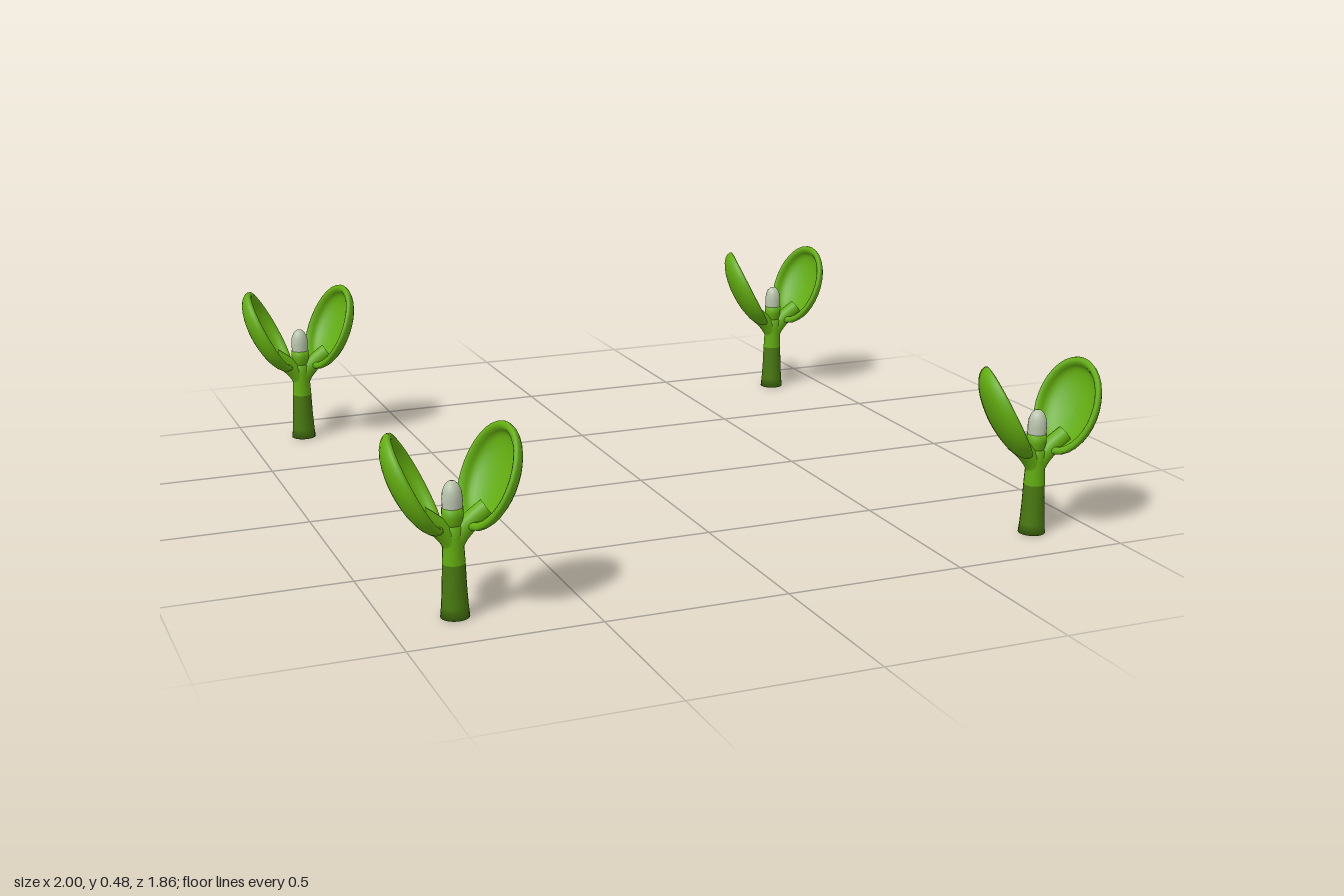
import * as THREE from 'three';

const leafGreen = new THREE.MeshStandardMaterial({ color: 0x62ac10 });
leafGreen.name = 'leafGreen';
const stemGreen = new THREE.MeshStandardMaterial({ color: 0x48780f });
stemGreen.name = 'stemGreen';
const budGrey = new THREE.MeshStandardMaterial({ color: 0xb9c4ac });
budGrey.name = 'budGrey';

const V = (x, y, z) => new THREE.Vector3(x, y, z);

function lathe(name, points, material, segments = 20) {
  const geometry = new THREE.LatheGeometry(points.map(([r, y]) => new THREE.Vector2(r, y)), segments);
  const mesh = new THREE.Mesh(geometry, material);
  mesh.name = name;
  return mesh;
}

// Cupped oval leaf with a thick rolled rim, opening inward, upward and a little forward
function leaf(side) {
  const outer = [], inner = [];
  for (let i = 0; i <= 8; i++) {
    const a = (i / 8) * Math.PI / 2;
    outer.push([Math.sin(a), -0.056 * Math.cos(a)]);
    inner.unshift([0.83 * Math.sin(a), -0.006 - 0.034 * Math.cos(a)]);
  }
  const mesh = lathe('leaf', [...outer, [0.98, 0.006], [0.92, 0.008], [0.86, 0.004], ...inner], leafGreen, 32);
  mesh.geometry.scale(0.101, 1, 0.14);
  mesh.geometry.computeVertexNormals();

  const along = V(0.397 * side, 0.884, -0.25).normalize();
  const across = V(0.36 * side, 0.1, 0.93);
  across.addScaledVector(along, -across.dot(along)).normalize();
  const facing = across.clone().cross(along).multiplyScalar(side).normalize();
  const third = across.clone().cross(facing);
  mesh.quaternion.setFromRotationMatrix(new THREE.Matrix4().makeBasis(across, facing, third));
  mesh.position.set(0.093 * side, 0.352, -0.003);
  return mesh;
}

// Short stalk swelling from the stem top into the back of the leaf
function stalk(side) {
  const curve = new THREE.QuadraticBezierCurve3(V(0, 0.18, 0), V(0.012 * side, 0.225, 0), V(0.085 * side, 0.275, 0.008));
  const mesh = new THREE.Mesh(new THREE.TubeGeometry(curve, 10, 0.025, 14), leafGreen);
  mesh.name = 'leafStalk';
  return mesh;
}

function sprout() {
  const group = new THREE.Group();
  group.name = 'sprout';
  group.add(
    lathe('lowerStem', [[0, 0], [0.037, 0], [0.034, 0.03], [0.031, 0.08], [0.029, 0.14]], stemGreen),
    lathe('upperStem', [[0.029, 0.14], [0.027, 0.18], [0.028, 0.21], [0.026, 0.235], [0.015, 0.25], [0, 0.252]], leafGreen),
    lathe('budCup', [[0.012, 0.215], [0.022, 0.235], [0.027, 0.26], [0.027, 0.283], [0, 0.286]], leafGreen),
    lathe('budTip', [[0.025, 0.28], [0.026, 0.305], [0.024, 0.325], [0.018, 0.34], [0.009, 0.349], [0, 0.351]], budGrey),
  );
  for (const side of [-1, 1]) group.add(stalk(side), leaf(side));
  return group;
}

export function createModel() {
  const model = new THREE.Group();
  model.name = 'sprouts';
  // One sprout at each corner of a square, all facing forward
  for (const x of [-0.828, 0.828]) {
    for (const z of [-0.828, 0.828]) {
      const plant = sprout();
      plant.position.set(x, 0, z);
      model.add(plant);
    }
  }
  return model;
}
